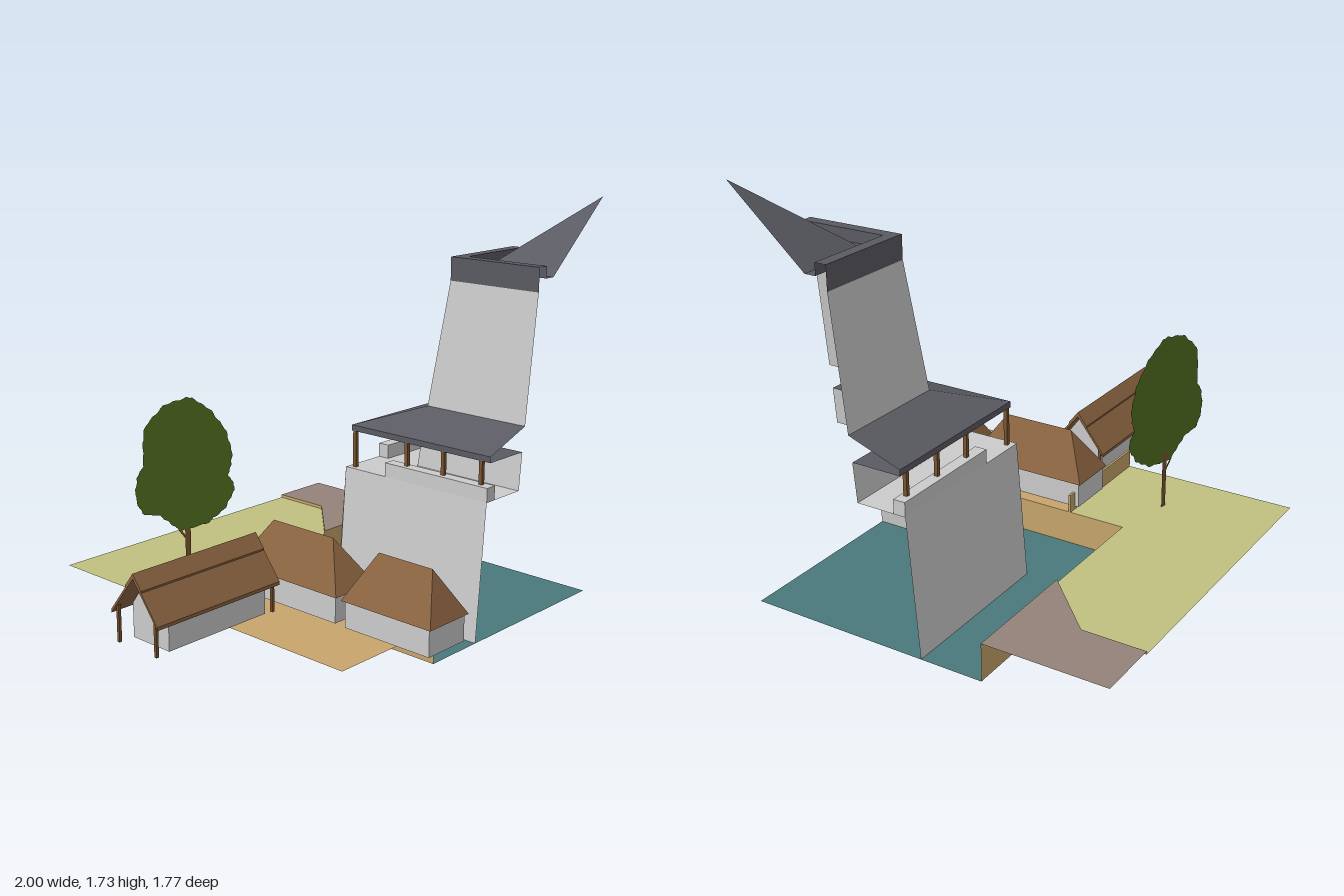
import * as THREE from 'three';
import { ConvexGeometry } from 'three/addons/geometries/ConvexGeometry.js';

const mat = (color) => new THREE.MeshStandardMaterial({ color, flatShading: true, side: THREE.DoubleSide });
const STONE = mat(0xcccccc), SLATE = mat(0x5a5a62), WOOD = mat(0x7a5530), ROOF = mat(0x8a6340);
const WATER = mat(0x4a787c), GRASS = mat(0xc0c080), EARTH = mat(0xc8a56c), PATH = mat(0x938279), LEAF = mat(0x557020);

// Corner of the tower plan: the tower is a quarter, cut open at x = 1 and z = 0.7
const CX = 1, CZ = 0.7;

export function createModel() {
  const root = new THREE.Group();
  const add = (name, geo, material, parent = root) => {
    const m = new THREE.Mesh(geo, material);
    m.name = name;
    parent.add(m);
    return m;
  };
  const box = (name, material, x0, x1, y0, y1, z0, z1, parent) =>
    add(name, new THREE.BoxGeometry(x1 - x0, y1 - y0, z1 - z0), material, parent)
      .position.set((x0 + x1) / 2, (y0 + y1) / 2, (z0 + z1) / 2);
  const group = (name) => {
    const g = new THREE.Group();
    g.name = name;
    root.add(g);
    return g;
  };

  // Joins rows of points into flat-shaded strips, leaving out collapsed triangles
  const loft = (rows) => {
    const pos = [];
    const tri = (a, b, c) => {
      const area = b.clone().sub(a).cross(c.clone().sub(a)).length();
      if (area > 1e-7) for (const p of [a, b, c]) pos.push(p.x, p.y, p.z);
    };
    for (let r = 0; r + 1 < rows.length; r++) {
      for (let i = 0; i + 1 < rows[r].length; i++) {
        const [a, b, c, d] = [rows[r][i], rows[r][i + 1], rows[r + 1][i + 1], rows[r + 1][i]];
        tri(b, a, d);
        tri(b, d, c);
      }
    }
    const g = new THREE.BufferGeometry();
    g.setAttribute('position', new THREE.Float32BufferAttribute(pos, 3));
    g.computeVertexNormals();
    return g;
  };

  // Quarter-tower shell from a profile of [distance from axis, height, corner chamfer]
  const shell = (name, material, profile) =>
    add(name, loft(profile.map(([d, y, k = 0]) => [
      new THREE.Vector3(CX - d, y, CZ),
      new THREE.Vector3(CX - d, y, CZ - d + k),
      new THREE.Vector3(CX - d + k, y, CZ - d),
      new THREE.Vector3(CX, y, CZ - d),
    ])), material, tower);

  // Tower
  const tower = group('tower');
  shell('towerBase', STONE, [[0.79, 0, 0.05], [0.742, 0.58]]);
  shell('walkway', STONE, [[0.742, 0.58], [0.525, 0.58]]);
  shell('lowerTowerWall', STONE, [[0.525, 0.58], [0.51, 0.74]]);
  shell('skirtRoof', SLATE, [[0.51, 0.74], [0.725, 0.74], [0.725, 0.765], [0.498, 0.845]]);
  shell('upperTowerWall', STONE, [[0.498, 0.845], [0.438, 1.38]]);
  shell('battlement', SLATE, [[0.438, 1.38], [0.438, 1.48], [0.388, 1.48], [0.388, 1.43], [0.34, 1.43]]);
  shell('spire', SLATE, [[0.34, 1.43], [0, 1.725]]);

  // Parapets on the walkway, with an open corner
  box('leftParapet', STONE, CX - 0.742, CX - 0.69, 0.58, 0.64, CZ - 0.525, CZ, tower);
  box('backParapet', STONE, CX - 0.525, CX, 0.58, 0.64, CZ - 0.742, CZ - 0.69, tower);

  // Posts carrying the skirt roof
  const post = (name, x, z, y0, y1, r, parent) =>
    box(name, WOOD, x - r, x + r, y0, y1, z - r, z + r, parent);
  for (const d of [0.05, 0.24, 0.43]) {
    post('roofPost', CX - 0.713, CZ - d, 0.64, 0.745, 0.008, tower);
    post('roofPost', CX - d, CZ - 0.713, 0.64, 0.745, 0.008, tower);
  }
  post('cornerRoofPost', CX - 0.713, CZ - 0.713, 0.58, 0.745, 0.008, tower);

  // Flat ground sheets from [x, z] outlines
  const sheet = (name, material, y, pts) => {
    const s = new THREE.Shape(pts.map(([x, z]) => new THREE.Vector2(x, -z)));
    add(name, new THREE.ShapeGeometry(s).rotateX(-Math.PI / 2).translate(0, y, 0), material);
  };
  sheet('moatWater', WATER, 0, [[-0.06, CZ], [1, CZ], [1, -0.36], [-0.06, -0.36]]);
  sheet('grass', GRASS, 0.146, [[-0.59, -0.89], [0.73, -0.89], [0.73, -0.62], [0.47, -0.36],
    [-0.06, -0.36], [-0.06, -0.1], [-0.59, -0.1]]);
  sheet('path', PATH, 0.16, [[0.73, -0.89], [1, -0.89], [1, -0.36], [0.47, -0.36], [0.73, -0.62]]);
  sheet('yard', EARTH, 0.146, [[-0.59, -0.1], [-0.06, -0.1], [-0.06, CZ], [-0.59, CZ]]);

  // Upright earth banks along [x, z] lines
  const bank = (name, y0, y1, pts) =>
    add(name, loft([y0, y1].map((y) => pts.map(([x, z]) => new THREE.Vector3(x, y, z)))), EARTH);
  bank('moatBank', 0, 0.146, [[1, -0.36], [-0.06, -0.36], [-0.06, CZ]]);
  bank('pathEdge', 0.146, 0.16, [[0.73, -0.89], [0.73, -0.62], [0.47, -0.36], [1, -0.36]]);
  box('yardWall', EARTH, -0.59, -0.06, 0.146, 0.225, -0.108, -0.098);

  // Hip-roofed houses
  const hipHouse = (name, x0, x1, z0, z1, r0, r1) => {
    const g = group(name), xm = (x0 + x1) / 2;
    box('houseWalls', STONE, x0 + 0.01, x1 - 0.01, 0.16, 0.272, z0 + 0.012, z1 - 0.012, g);
    const pts = [[x0, 0.27, z0], [x1, 0.27, z0], [x0, 0.27, z1], [x1, 0.27, z1], [xm, 0.457, r0], [xm, 0.457, r1]];
    add('hipRoof', new ConvexGeometry(pts.map((p) => new THREE.Vector3(...p))), ROOF, g);
  };
  hipHouse('nearHouse', -0.32, -0.09, 0.45, 0.885, 0.54, 0.8);
  hipHouse('middleHouse', -0.315, -0.085, -0.138, 0.42, -0.025, 0.3);

  // Long house with an overhanging gable roof in two tiers
  const longHouse = group('longHouse'), zm = 0.04;
  const walls = [];
  for (const x of [-0.92, -0.42]) {
    for (const [z, y] of [[-0.1, 0.16], [0.1, 0.16], [-0.1, 0.3], [0.1, 0.3], [0, 0.435]]) {
      walls.push(new THREE.Vector3(x, y, zm + z));
    }
  }
  add('longHouseWalls', new ConvexGeometry(walls), STONE, longHouse);
  const gable = (name, half, top, slope, t) => {
    const low = top - half * slope;
    const s = new THREE.Shape([[-half, low], [0, top], [half, low], [half, low - t], [0, top - t], [-half, low - t]]
      .map(([x, y]) => new THREE.Vector2(x, y)));
    const geo = new THREE.ExtrudeGeometry(s, { depth: 0.632, bevelEnabled: false });
    add(name, geo.rotateY(Math.PI / 2).translate(-1, 0, zm), ROOF, longHouse);
  };
  gable('gableRoof', 0.13, 0.455, 1.28, 0.014);
  gable('gableRoofCap', 0.045, 0.462, 1.28, 0.012);
  for (const x of [-0.985, -0.385]) {
    for (const z of [-0.105, 0.105]) post('porchPost', x, zm + z, 0.16, 0.31, 0.006, longHouse);
  }

  // Tree: a flat leafy outline and a forked trunk, turned slightly
  const tree = group('tree');
  tree.position.set(-0.32, 0, -0.415);
  tree.rotation.y = -0.245;
  const outline = [[0.02, 0.918], [-0.1, 0.9], [-0.19, 0.81], [-0.2, 0.67], [-0.233, 0.6], [-0.215, 0.47],
    [-0.12, 0.43], [-0.04, 0.362], [0.1, 0.37], [0.19, 0.43], [0.226, 0.51], [0.2, 0.56], [0.217, 0.63],
    [0.195, 0.74], [0.12, 0.85]];
  const curve = new THREE.CatmullRomCurve3(outline.map(([x, y]) => new THREE.Vector3(x, y, 0)), true);
  // Small ripples along the edge of the leaves
  const leaves = curve.getPoints(120).slice(0, 120).map((p, i) => {
    const k = 1 + 0.012 * Math.sin(i * 1.7) + 0.01 * Math.sin(i * 0.9 + 1);
    return new THREE.Vector2(p.x * k, 0.64 + (p.y - 0.64) * k);
  });
  add('treeCrown', new THREE.ShapeGeometry(new THREE.Shape(leaves)), LEAF, tree);
  const trunk = [[-0.012, 0.146], [0.012, 0.146], [0.014, 0.4], [-0.014, 0.4], [-0.012, 0.33],
    [-0.04, 0.37], [-0.045, 0.36], [-0.012, 0.315]];
  add('treeTrunk', new THREE.ShapeGeometry(new THREE.Shape(trunk.map(([x, y]) => new THREE.Vector2(x, y)))), WOOD, tree)
    .position.z = -0.002;

  return root;
}
